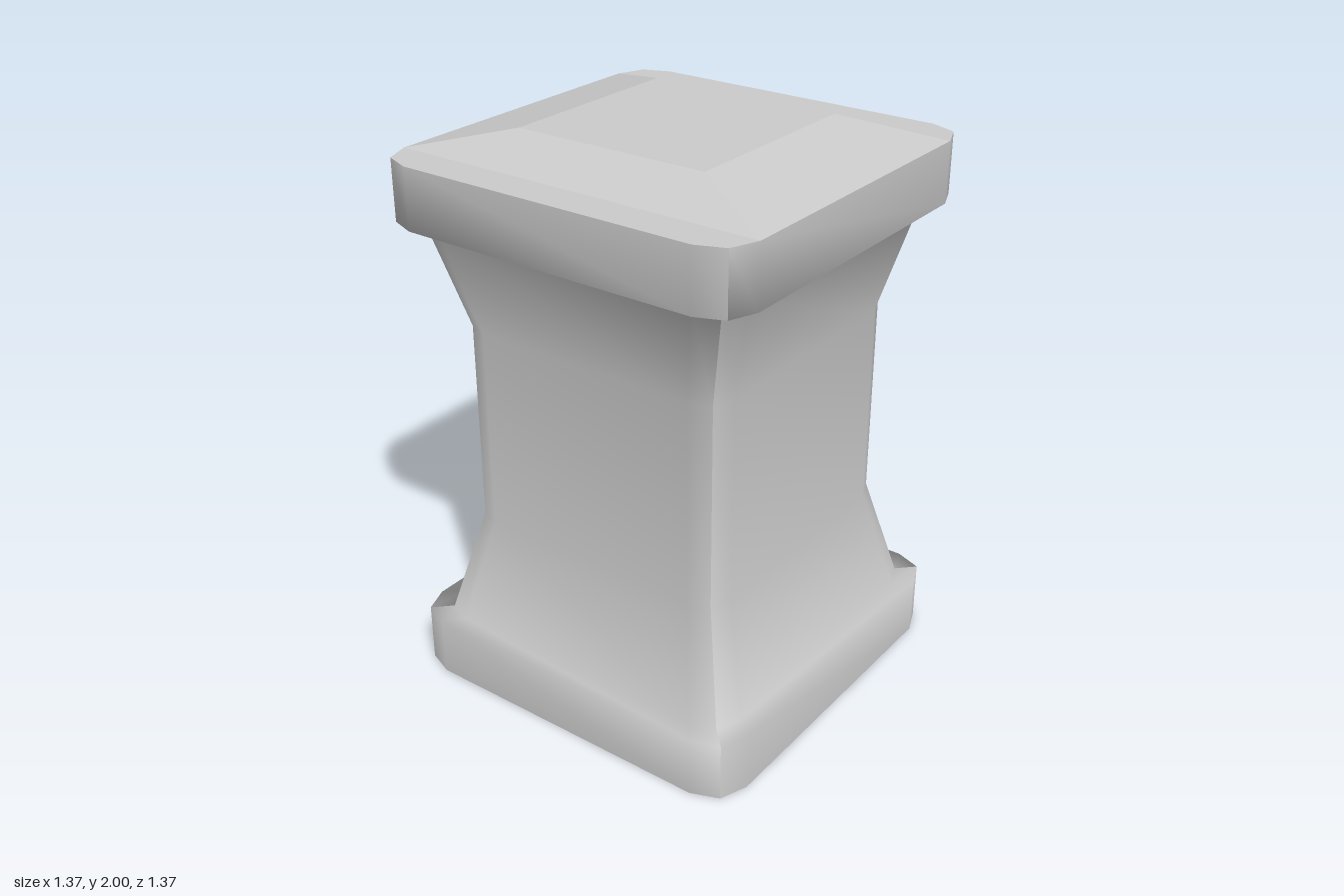
import * as THREE from 'three';

const material = new THREE.MeshStandardMaterial({ color: 0xcccccc });
const HALF = 0.685, MID = 0.647, CUT = 0.55; // bevelled square outline
const CAP_Y = 1.922, TOP_Y = 2, TOP_HALF = 0.36;

// One quarter of the outline, running left to right across the front
const edge = [[-MID, MID], [-CUT, HALF], [CUT, HALF], [MID, MID]];

// Height and outline scale: plinth, flared shaft, cap rim
const rings = [
  [0, 1], [0.215, 1], [0.215, 0.905], [0.6, 0.759],
  [1.328, 0.759], [1.708, 0.905], [1.708, 1], [CAP_Y, 1],
];

function addMesh(parent, name, geometry) {
  const mesh = new THREE.Mesh(geometry, material);
  mesh.name = name;
  parent.add(mesh);
  return mesh;
}

// Smooth side wall from plinth to cap, creased only at its two corners
function wallGeometry() {
  const positions = [], index = [];
  rings.forEach(([y, s], i) => {
    edge.forEach(([x, z], j) => {
      positions.push(x * s, y, z * s);
      if (i < rings.length - 1 && j < edge.length - 1) {
        const a = i * edge.length + j, c = a + edge.length;
        index.push(a, a + 1, c, a + 1, c + 1, c);
      }
    });
  });
  const geometry = new THREE.BufferGeometry();
  geometry.setAttribute('position', new THREE.Float32BufferAttribute(positions, 3));
  geometry.setIndex(index);
  geometry.computeVertexNormals();
  return geometry;
}

function flatShape(points) {
  return new THREE.ShapeGeometry(new THREE.Shape(points.map(([x, y]) => new THREE.Vector2(x, y))));
}

// Low hipped top: a box tapered upwards, without its underside
function hippedTopGeometry() {
  const box = new THREE.BoxGeometry(2, 2, 2);
  const p = box.attributes.position;
  for (let i = 0; i < p.count; i++) {
    const upper = p.getY(i) > 0;
    p.setXYZ(i,
      p.getX(i) * (upper ? TOP_HALF : HALF),
      upper ? TOP_Y : CAP_Y,
      p.getZ(i) * (upper ? TOP_HALF : CUT));
  }
  const index = Array.from(box.index.array);
  index.splice(18, 6);
  box.setIndex(index);
  box.clearGroups();
  const geometry = box.toNonIndexed();
  geometry.computeVertexNormals();
  return geometry;
}

export function createModel() {
  const group = new THREE.Group();
  group.name = 'pedestal';

  // Four matching sides
  const wall = wallGeometry();
  ['frontSide', 'leftSide', 'backSide', 'rightSide'].forEach((name, i) => {
    addMesh(group, name, wall).rotation.y = i * Math.PI / 2;
  });

  // Underside
  const outline = [];
  for (let i = 0; i < 4; i++) {
    const c = [1, 0, -1, 0][i], s = [0, 1, 0, -1][i];
    // clockwise quarter turns of the edge
    edge.slice(0, 3).forEach(([x, y]) => outline.push([x * c + y * s, y * c - x * s]));
  }
  addMesh(group, 'underside', flatShape(outline).rotateX(Math.PI / 2));

  // Cap top: hipped centre with a flat strip along the front and back
  addMesh(group, 'hippedTop', hippedTopGeometry());
  const strip = flatShape([[-HALF, CUT], ...edge, [HALF, CUT]]).rotateX(-Math.PI / 2);
  ['backStrip', 'frontStrip'].forEach((name, i) => {
    const mesh = addMesh(group, name, strip);
    mesh.position.y = CAP_Y;
    mesh.rotation.y = i * Math.PI;
  });

  // Small filler slopes are unnecessary at the corners: the wall bevel meets the strips
  const sliver = new THREE.BufferGeometry().setFromPoints([
    new THREE.Vector3(MID, 0, MID), new THREE.Vector3(HALF, 0, CUT), new THREE.Vector3(HALF, 0, CUT),
  ]);
  sliver.dispose();
  return group;
}
